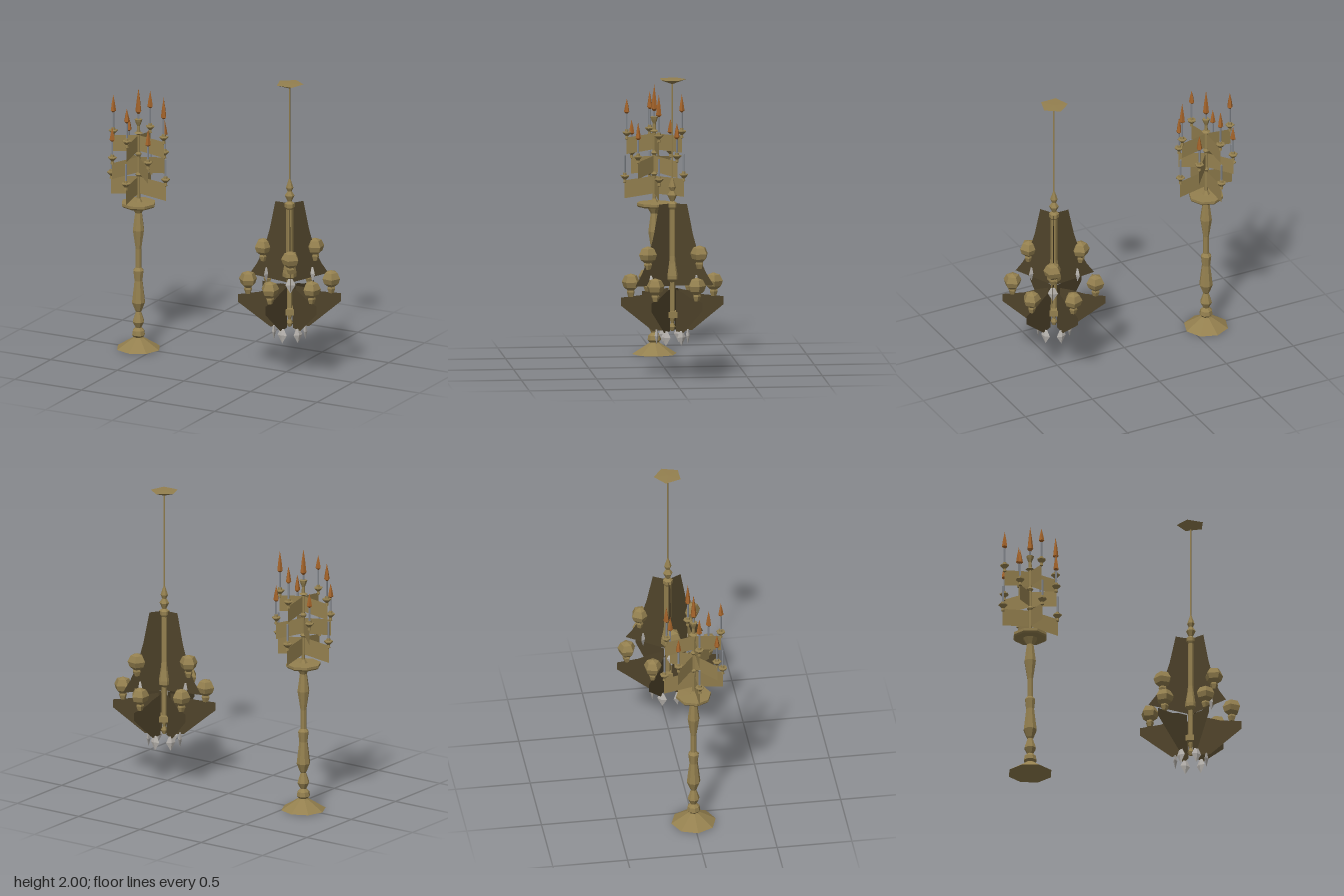
import * as THREE from 'three';

const mat = (name, color, extra = {}) =>
  Object.assign(new THREE.MeshStandardMaterial({ color, flatShading: true, ...extra }), { name });

export function createModel() {
  const model = new THREE.Group();
  const gold = mat('antique gold', 0x94804f);
  const goldSheet = mat('gold sheet', 0x94804f, { side: THREE.DoubleSide });
  const bronze = mat('dark bronze', 0x50442b, { side: THREE.DoubleSide });
  const wax = mat('grey wax', 0x82868c);
  const fire = mat('flame orange', 0xa5642a);
  const crystal = mat('crystal', 0xb9b5b0);

  const add = (parent, name, geo, material, x = 0, y = 0, z = 0) => {
    const m = new THREE.Mesh(geo, material);
    m.name = name;
    m.position.set(x, y, z);
    parent.add(m);
    return m;
  };
  const group = (parent, name, x = 0, y = 0, z = 0, turn = 0) => {
    const g = new THREE.Group();
    g.name = name;
    g.position.set(x, y, z);
    g.rotation.y = turn;
    parent.add(g);
    return g;
  };
  // Profiles are [radius, height] pairs listed from bottom to top
  const lathe = (pts, sides) => new THREE.LatheGeometry(pts.map(p => new THREE.Vector2(...p)), sides);
  const sheet = pts => new THREE.ShapeGeometry(new THREE.Shape(pts.map(p => new THREE.Vector2(...p))));

  // ---------- Floor candelabrum ----------
  const stand = group(model, 'candelabrum', -0.61, 0, 0, 0.06);
  add(stand, 'standPost', lathe([
    [0, 0], [0.15, 0.003], [0.04, 0.072], [0.032, 0.08], [0.045, 0.095], [0.04, 0.125], [0.02, 0.145],
    [0.04, 0.185], [0.036, 0.2], [0.018, 0.255], [0.024, 0.265], [0.046, 0.32], [0.028, 0.47],
    [0.036, 0.54], [0.02, 0.56], [0.02, 0.69], [0.04, 0.82], [0.024, 0.94], [0.05, 0.985], [0, 0.985],
  ], 8), gold);
  add(stand, 'topPlate', lathe([[0, 0.985], [0.108, 0.985], [0.117, 0.995], [0.117, 1.012], [0, 1.015]], 8), gold);
  add(stand, 'centrePost', lathe([
    [0.03, 1.01], [0.012, 1.04], [0.012, 1.19], [0.022, 1.205], [0.012, 1.22], [0.012, 1.33],
    [0.022, 1.345], [0.012, 1.36], [0.012, 1.48], [0.03, 1.49], [0.012, 1.5], [0.01, 1.54],
    [0.022, 1.57], [0.026, 1.585], [0, 1.587],
  ], 6), gold);

  const cupGeo = lathe([[0, -0.035], [0.012, -0.03], [0.009, -0.01], [0.03, 0.012], [0.03, 0.018],
    [0.014, 0.02], [0.012, 0.035], [0, 0.035]], 6);
  const candle = (parent, x, y, wick, tip) => {
    const g = group(parent, 'candleHolder', x, y, 0);
    add(g, 'cup', cupGeo, gold);
    add(g, 'candle', new THREE.CylinderGeometry(0.007, 0.007, wick - y, 5), wax, 0, (wick - y) / 2);
    if (tip) add(g, 'flame', lathe([[0, wick - y - 0.005], [0.019, wick - y + 0.012], [0.012, (wick + tip) / 2 - y],
      [0, tip - y]], 5), fire);
  };
  // Tiers: reach, bottom at end, height, turn, cup height, wick height, flame tips (+x, -z, -x, +z)
  const tiers = [
    [0.2, 1.045, 0.12, 0, 1.18, 1.33, []],
    [0.187, 1.19, 0.11, Math.PI / 4, 1.325, 1.45, [1.56, 1.55, 1.55, 1.57]],
    [0.187, 1.34, 0.11, 0, 1.47, 1.61, [1.758, 1.73, 1.73, 1.71]],
  ];
  for (const [r, y, h, turn, cupY, wick, tips] of tiers) {
    const tier = group(stand, 'candleTier', 0, 0, 0, turn);
    for (let i = 0; i < 4; i++) {
      const arm = group(tier, 'arm', 0, 0, 0, i * Math.PI / 2);
      add(arm, 'armPanel', sheet([[0, y + 0.028], [r, y], [r, y + h], [0, y + h + 0.025]]), goldSheet);
      candle(arm, r - 0.003, cupY, wick, tips[i]);
    }
  }
  add(stand, 'centreCandle', new THREE.CylinderGeometry(0.007, 0.007, 0.05, 5), wax, 0, 1.605, 0);
  add(stand, 'centreFlame', lathe([[0, 1.615], [0.021, 1.64], [0.012, 1.72], [0, 1.8]], 5), fire);

  // ---------- Hanging chandelier ----------
  const lamp = group(model, 'chandelier', 0.525);
  const canopy = add(lamp, 'canopy', lathe([[0, 1.965], [0.094, 1.998], [0, 2]], 5), gold);
  canopy.rotation.y = Math.PI;
  canopy.rotation.y += THREE.MathUtils.degToRad(1);
  add(lamp, 'rod', new THREE.CylinderGeometry(0.005, 0.005, 0.66, 5), gold, 0, 1.645, 0);
  add(lamp, 'column', lathe([
    [0, 0.315], [0.012, 0.32], [0.022, 0.345], [0.01, 0.37], [0.02, 0.41], [0.02, 0.6], [0.022, 0.645],
    [0.046, 0.665], [0.046, 0.69], [0.03, 0.77], [0.024, 0.82], [0.024, 1.13], [0.034, 1.145], [0.034, 1.17],
    [0.014, 1.185], [0.032, 1.225], [0.014, 1.255], [0.025, 1.28], [0.005, 1.34],
  ], 6), gold);
  add(lamp, 'collar', lathe([[0, 0.41], [0.057, 0.41], [0.057, 0.45], [0, 0.45]], 6), gold);

  const bulbGeo = lathe([[0, -0.098], [0.018, -0.096], [0.028, -0.065], [0.024, -0.052], [0.05, -0.03],
    [0.062, 0.005], [0.042, 0.045], [0, 0.06]], 5);
  const dropGeo = lathe([[0, -0.05], [0.034, 0.008], [0.014, 0.05], [0, 0.052]], 4);
  dropGeo.scale(0.4, 1, 1);
  dropGeo.rotateY(0);

  const upperFin = sheet([[0.02, 0.62], [0.3, 0.64], [0.245, 0.72], [0.195, 0.82], [0.15, 0.97],
    [0.107, 1.17], [0.02, 1.17]]);
  const lowerFin = sheet([[0.04, 0.32], [0.13, 0.32], [0.34, 0.49], [0.34, 0.545], [0.2, 0.56],
    [0.12, 0.585], [0.04, 0.6]]);

  // Ring of fins, each with a bulb on top and a crystal below
  const ring = (name, count, start, finGeo, bulbR, bulbY, dropR, dropY) => {
    for (let i = 0; i < count; i++) {
      const g = group(lamp, name, 0, 0, 0, start + i * 2 * Math.PI / count);
      add(g, 'fin', finGeo, bronze);
      add(g, 'bulb', bulbGeo, gold, bulbR, bulbY, 0);
      add(g, 'crystalDrop', dropGeo, crystal, dropR, dropY, 0);
    }
  };
  ring('upperArm', 3, Math.PI / 3, upperFin, 0.198, 0.84, 0.175, 0.65);
  ring('lowerArm', 6, Math.PI / 6, lowerFin, 0.275, 0.645, 0.104, 0.278);

  return model;
}
